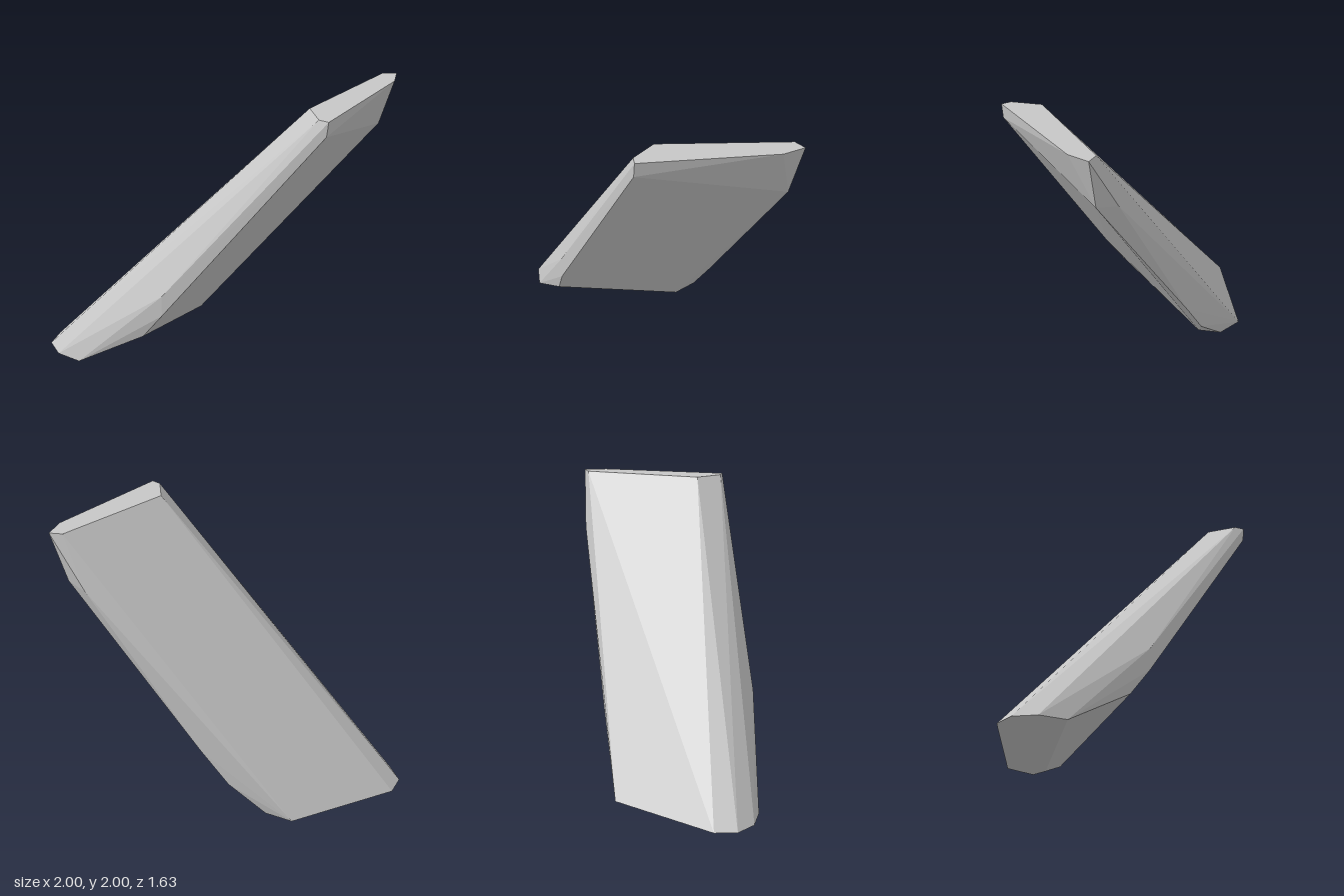
import * as THREE from 'three';
import { ConvexGeometry } from 'three/addons/geometries/ConvexGeometry.js';

// Leaning stone slab: a faceted hull spanned by its corner rings.
export function createModel() {
  const stone = new THREE.MeshStandardMaterial({ color: 0xc6c6c6 });
  stone.name = 'light grey stone';

  // flat foot on the ground
  const foot = [
    [-1, 0, 0.58], [-0.96, 0, 0.73], [-0.82, 0, 0.815], [-0.63, 0, 0.815],
    [-0.41, 0, -0.12], [-0.46, 0, -0.22], [-0.66, 0, -0.17],
  ];
  // chipped corners above the foot
  const lowerChips = [
    [-0.27, 0.08, -0.21], [-0.21, 0.2, -0.335], [-0.03, 0.45, -0.42],
    [-0.15, 0.3, 0.68], [0, 0.5, 0.66], [0, 0.65, 0.66],
  ];
  // chipped corners below the top
  const upperChips = [
    [0.7, 1.61, -0.75], [0.86, 1.64, -0.75], [0.99, 1.9, 0.24],
  ];
  // flat top end
  const top = [
    [0.78, 2, 0.09], [0.86, 2, -0.77], [0.94, 2, -0.82],
    [1, 2, -0.67], [1, 2, 0.235], [0.93, 2, 0.235],
  ];

  const corners = [...foot, ...lowerChips, ...upperChips, ...top]
    .map((p) => new THREE.Vector3(...p));
  const slab = new THREE.Mesh(new ConvexGeometry(corners), stone);
  slab.name = 'stoneSlab';

  const group = new THREE.Group();
  group.name = 'leaningStone';
  group.add(slab);
  return group;
}
